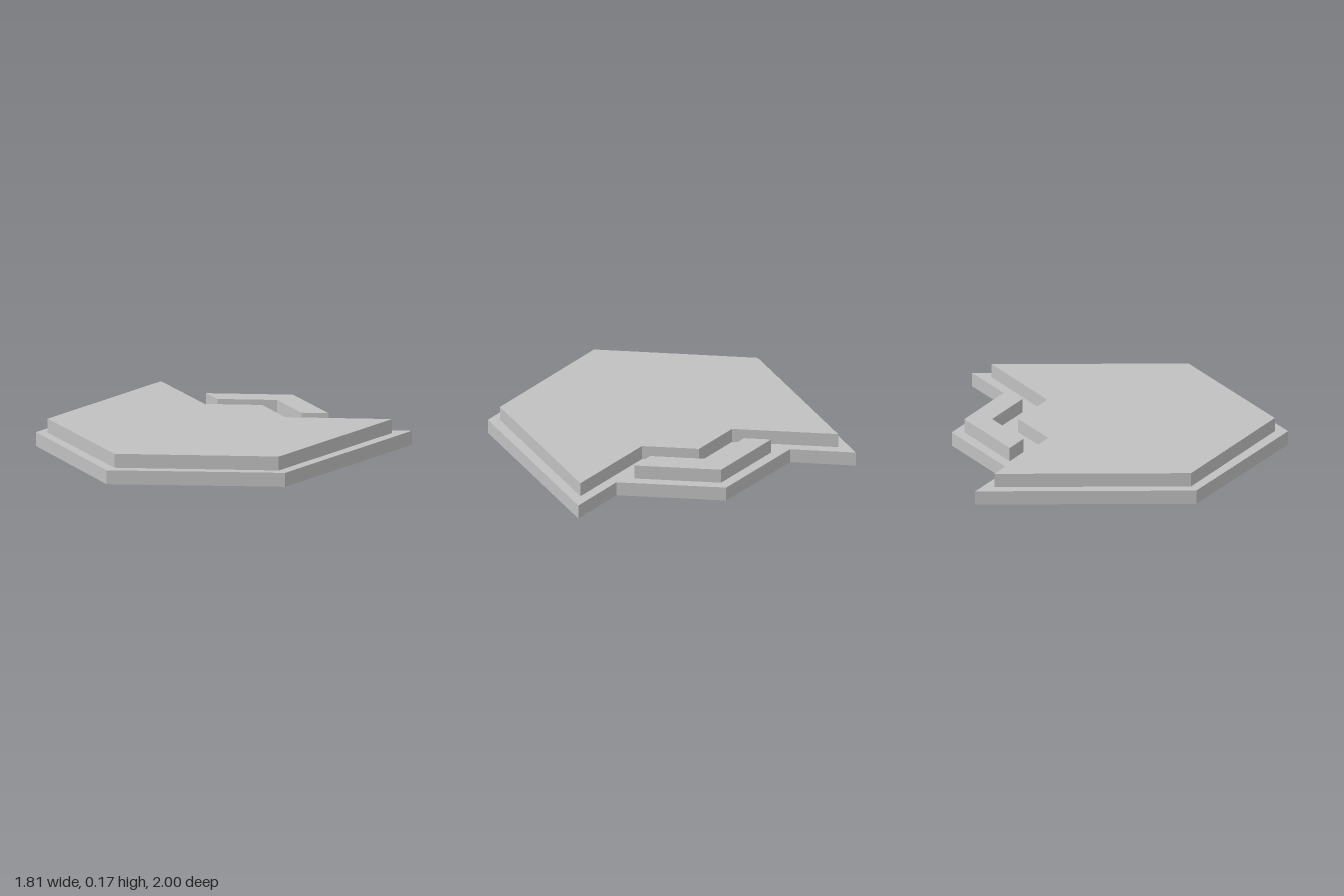
import * as THREE from 'three';

const THICKNESS = 0.085;

// Flat plate from the right half of a symmetric outline, given as [x, z];
// points with x = 0 lie on the mirror line.
function plate(name, half, y, material) {
  const mirrored = half.filter(([x]) => x > 0).reverse().map(([x, z]) => [-x, z]);
  const outline = [...half, ...mirrored].map(([x, z]) => new THREE.Vector2(x, -z));
  const geometry = new THREE.ExtrudeGeometry(new THREE.Shape(outline), {
    depth: THICKNESS,
    bevelEnabled: false,
  });
  geometry.rotateX(-Math.PI / 2);
  const mesh = new THREE.Mesh(geometry, material);
  mesh.name = name;
  mesh.position.y = y;
  return mesh;
}

export function createModel() {
  const grey = new THREE.MeshStandardMaterial({ color: 0xc0c0c0 });
  grey.name = 'grey';

  const model = new THREE.Group();
  model.name = 'shieldBadge';

  // Shield-shaped base with a notched back edge
  model.add(plate('base', [
    [0, 1], [0.905, 0.445], [0.905, -0.87], [0.565, -0.665], [0, -1],
  ], 0, grey));

  // Raised main panel
  model.add(plate('raisedPanel', [
    [0, 0.92], [0.84, 0.415], [0.84, -0.755], [0.293, -0.43], [0, -0.605],
  ], THICKNESS, grey));

  // Raised chevron at the back; its arms end in slanted cuts
  const chevron = [[0, -0.76], [0.305, -0.577], [0.445, -0.66], [0, -0.925]];
  const right = chevron.slice(1, 3);
  const outline = [
    chevron[0], ...right, chevron[3],
    ...right.slice().reverse().map(([x, z]) => [-x, z]),
  ].map(([x, z]) => new THREE.Vector2(x, -z));
  const geometry = new THREE.ExtrudeGeometry(new THREE.Shape(outline), {
    depth: THICKNESS,
    bevelEnabled: false,
  });
  geometry.rotateX(-Math.PI / 2);
  const mesh = new THREE.Mesh(geometry, grey);
  mesh.name = 'chevron';
  mesh.position.y = THICKNESS;
  model.add(mesh);

  return model;
}
